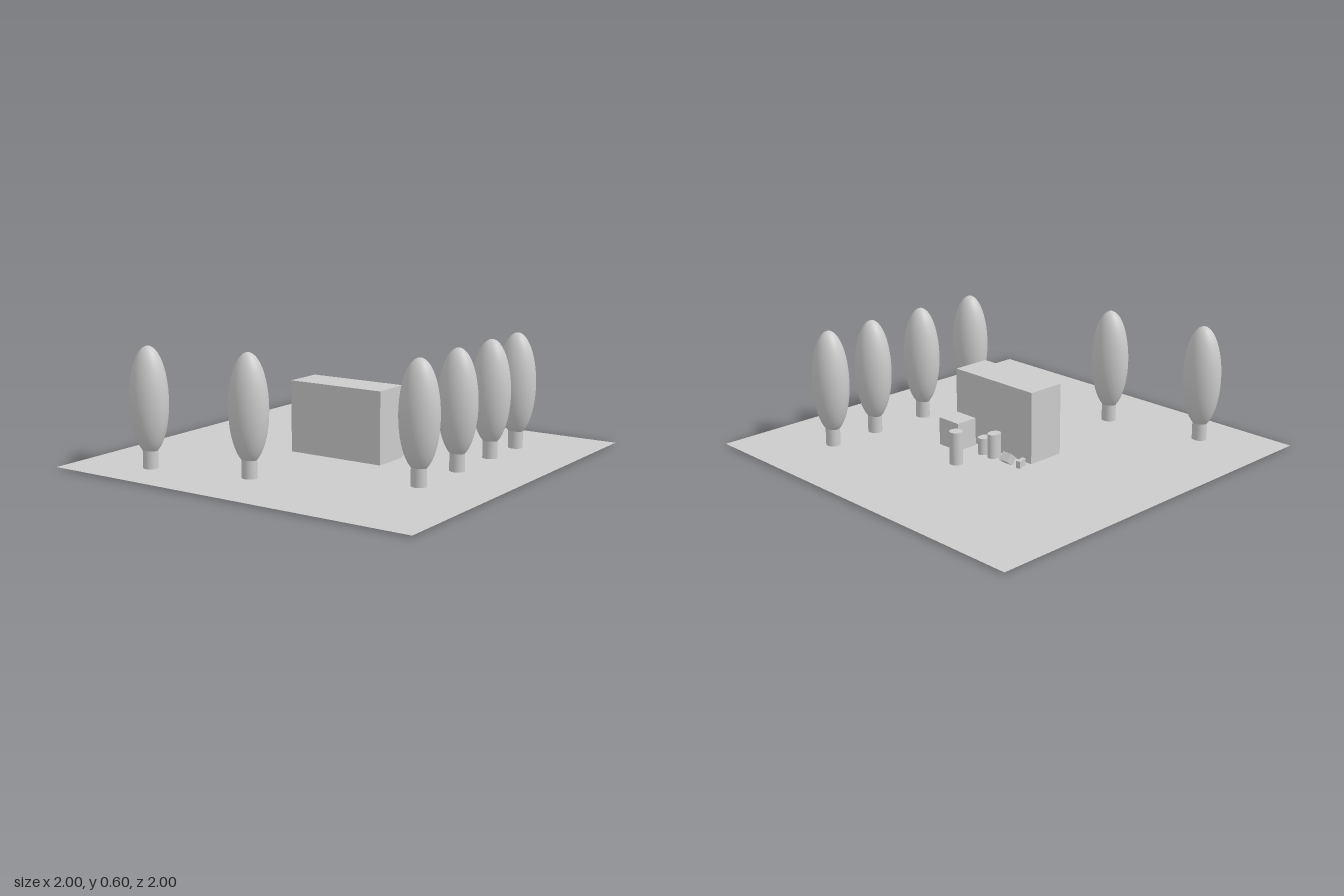
import * as THREE from 'three';

const grey = new THREE.MeshStandardMaterial({ color: 0xcccccc });
const GROUND = 0.007;

export function createModel() {
  const model = new THREE.Group();

  const add = (parent, name, geometry, x, y, z, material = grey) => {
    const mesh = new THREE.Mesh(geometry, material);
    mesh.name = name;
    mesh.position.set(x, y, z);
    parent.add(mesh);
    return mesh;
  };
  // box and oval post, both standing on a given base height
  const box = (name, w, h, d, x, z, base = GROUND) =>
    add(model, name, new THREE.BoxGeometry(w, h, d), x, base + h / 2, z);
  const post = (parent, name, rx, rz, h, x, z, base = 0) =>
    add(parent, name, new THREE.CylinderGeometry(1, 1, h, 32).scale(rx, 1, rz), x, base + h / 2, z);

  // flat sheet of ground
  const sheet = new THREE.MeshStandardMaterial({ color: 0xcccccc, side: THREE.DoubleSide });
  add(model, 'ground', new THREE.PlaneGeometry(2, 2).rotateX(-Math.PI / 2), 0, GROUND, 0, sheet);

  // main block and the smaller one behind it
  box('building', 0.528, 0.363, 0.2, -0.001, 0);
  box('annex', 0.135, 0.143, 0.12, 0.177, -0.175);

  // upright posts behind the building
  post(model, 'tallPost', 0.033, 0.033, 0.172, 0, -0.347);
  post(model, 'shortPost', 0.028, 0.036, 0.092, 0, -0.158);
  post(model, 'mediumPost', 0.028, 0.036, 0.13, -0.068, -0.158);

  // small crates: one tipped over, one turned
  const tipped = box('tippedCrate', 0.055, 0.045, 0.045, -0.177, -0.173, 0.01);
  tipped.rotation.x = 0.7;
  const turned = box('turnedCrate', 0.022, 0.04, 0.055, -0.251, -0.157, 0.003);
  turned.rotation.y = 0.25;

  // trees: a short trunk under a slim oval crown
  const crown = new THREE.SphereGeometry(1, 32, 24).scale(0.099, 0.262, 0.088);
  const spots = [
    [0.62, -0.615], [0.62, -0.345], [0.62, -0.02], [0.62, 0.327],
    [-0.108, 0.64], [-0.617, 0.755],
  ];
  for (const [x, z] of spots) {
    const tree = new THREE.Group();
    tree.name = 'tree';
    tree.position.set(x, 0, z);
    post(tree, 'trunk', 0.038, 0.035, 0.1, 0, 0, GROUND);
    add(tree, 'crown', crown, 0, 0.336, 0);
    model.add(tree);
  }
  return model;
}
